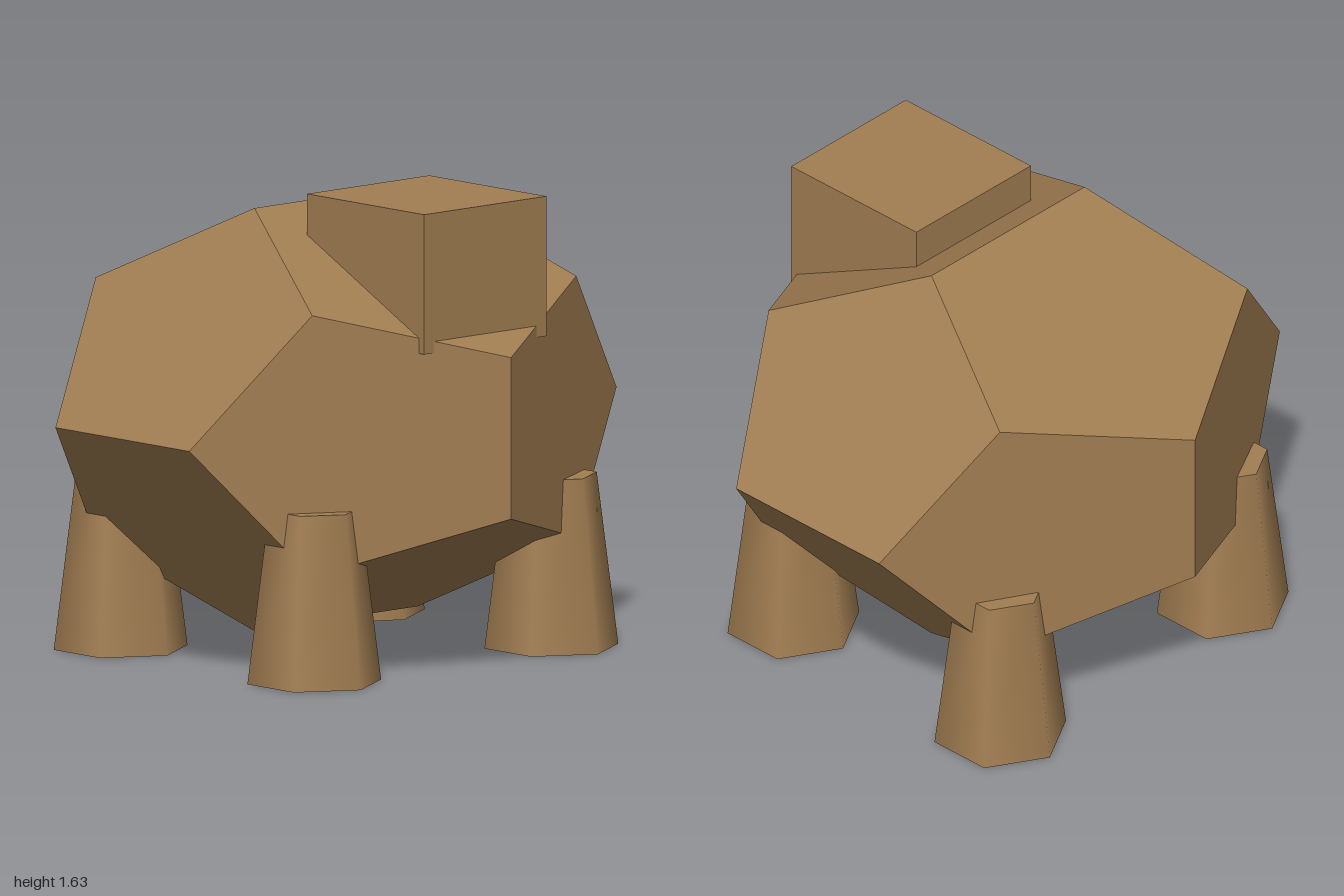
import * as THREE from 'three';

export function createModel() {
  const model = new THREE.Group();
  const brown = new THREE.MeshStandardMaterial({ color: 0xa27e52 });
  brown.name = 'brown';

  const add = (name, geometry, x, y, z) => {
    const mesh = new THREE.Mesh(geometry, brown);
    mesh.name = name;
    mesh.position.set(x, y, z);
    model.add(mesh);
  };

  // Faceted body: a dodecahedron squashed to its half extents
  const body = new THREE.DodecahedronGeometry(1);
  body.computeBoundingBox();
  const half = body.boundingBox.max;
  body.scale(1 / half.x, 0.738 / half.y, 0.89 / half.z);
  add('body', body, 0, 0.836, 0);

  // Block head sunk into the upper front of the body
  add('head', new THREE.BoxGeometry(0.572, 0.488, 0.595), 0, 1.389, 0.461);

  // Four tapered six-sided legs, softly shaded
  const leg = new THREE.CylinderGeometry(0.16, 0.236, 0.603, 6);
  for (const [end, z] of [['front', 0.492], ['back', -0.492]]) {
    for (const [side, x] of [['Left', 0.555], ['Right', -0.555]]) {
      add(`${end}${side}Leg`, leg, x, 0.3015, z);
    }
  }

  return model;
}
